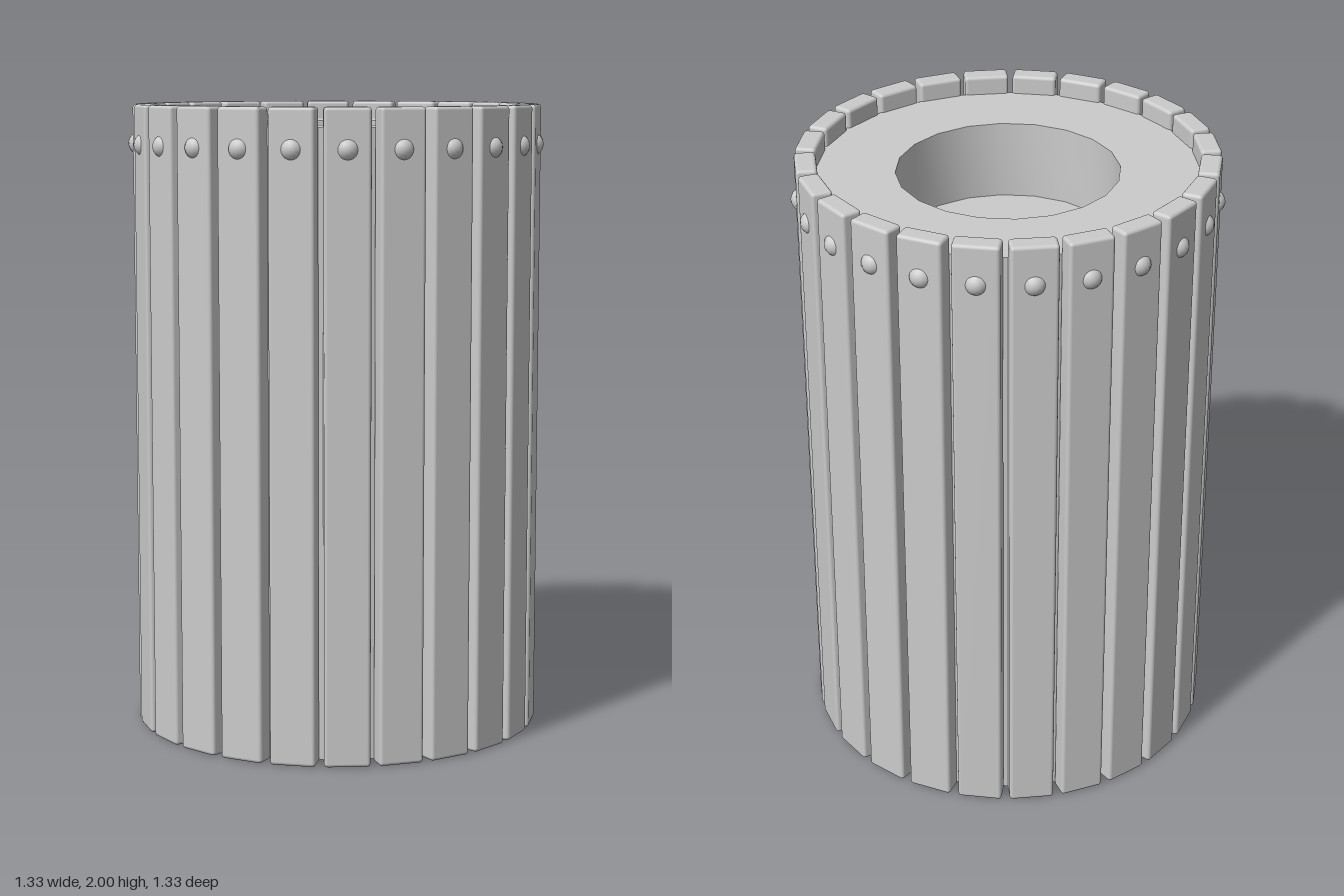
import * as THREE from 'three';
import { toCreasedNormals } from 'three/addons/utils/BufferGeometryUtils.js';
import { RoundedBoxGeometry } from 'three/addons/geometries/RoundedBoxGeometry.js';

const SLATS = 24;

export function createModel() {
  const model = new THREE.Group();
  model.name = 'slattedPlanter';
  const material = new THREE.MeshStandardMaterial({ color: 0xcccccc });

  // Solid core with a round recess sunk into its top
  const profile = [
    [0, 0.01], [0.598, 0.01], [0.598, 1.94],
    [0.345, 1.94], [0.345, 1.69], [0, 1.69],
  ].map(([r, y]) => new THREE.Vector2(r, y));
  const core = new THREE.Mesh(
    toCreasedNormals(new THREE.LatheGeometry(profile, 20), 0.6), material);
  core.name = 'core';
  model.add(core);

  // Ring of upright slats, each with a round stud near the top
  const slatGeometry = new RoundedBoxGeometry(0.142, 2, 0.066, 2, 0.011);
  const studGeometry = new THREE.SphereGeometry(0.036, 16, 12);
  for (let i = 0; i < SLATS; i++) {
    const unit = new THREE.Group();
    unit.name = `slatUnit${i + 1}`;
    unit.rotation.y = (i / SLATS) * Math.PI * 2;

    const slat = new THREE.Mesh(slatGeometry, material);
    slat.name = 'slat';
    slat.position.set(0, 1, 0.616);

    const stud = new THREE.Mesh(studGeometry, material);
    stud.name = 'stud';
    stud.position.set(0, 1.875, 0.63);

    unit.add(slat, stud);
    model.add(unit);
  }
  return model;
}
